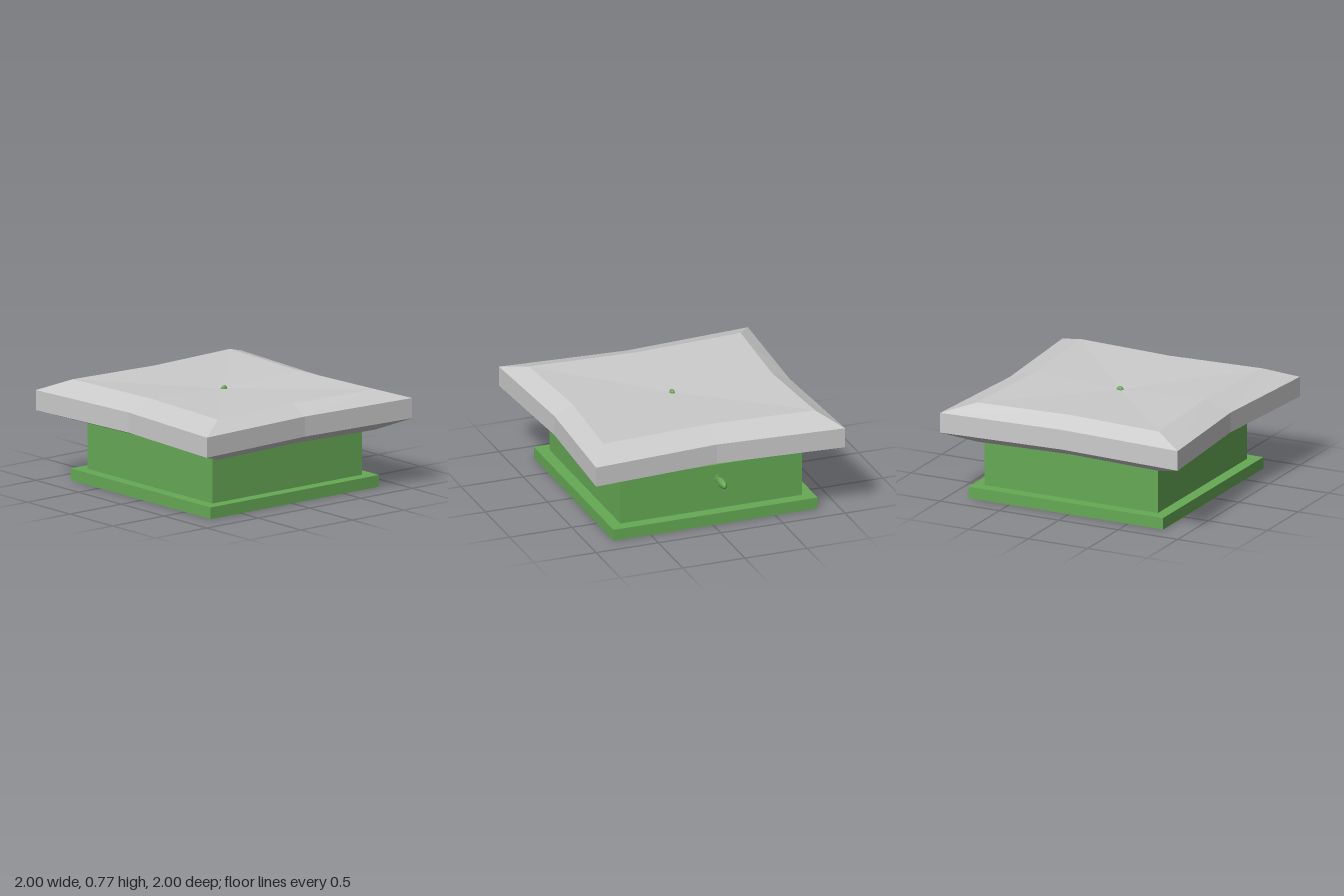
import * as THREE from 'three';

const green = new THREE.MeshStandardMaterial({ color: 0x66aa55, flatShading: true });
const grey = new THREE.MeshStandardMaterial({ color: 0xcccccc, flatShading: true });

// Box given by its limits on each axis
function block(name, [x0, x1], [y0, y1], [z0, z1]) {
  const mesh = new THREE.Mesh(new THREE.BoxGeometry(x1 - x0, y1 - y0, z1 - z0), green);
  mesh.position.set((x0 + x1) / 2, (y0 + y1) / 2, (z0 + z1) / 2);
  mesh.name = name;
  return mesh;
}

// Eight-point ring: four corners with the middle of each side drawn inwards
function ring(y, cornerX, cornerZ, midX, midZ) {
  return [
    [cornerX, y, cornerZ], [midX, y, 0], [cornerX, y, -cornerZ], [0, y, -midZ],
    [-cornerX, y, -cornerZ], [-midX, y, 0], [-cornerX, y, cornerZ], [0, y, midZ],
  ];
}

// Lid: rings joined from the underside up to a slightly sunken top
function lidGeometry() {
  const rings = [
    ring(0.46, 0.85, 0.765, 0.8, 0.715),
    ring(0.54, 1, 1, 0.945, 0.93),
    ring(0.695, 1, 1, 0.945, 0.93),
    ring(0.77, 0.85, 0.765, 0.8, 0.715),
  ];
  const pos = [];
  const low = [0, 0.46, 0], high = [0, 0.737, 0];
  for (let i = 0; i < 8; i++) {
    const j = (i + 1) % 8;
    pos.push(...low, ...rings[0][j], ...rings[0][i]);
    for (let r = 0; r < 3; r++) {
      const a = rings[r], b = rings[r + 1];
      pos.push(...a[i], ...a[j], ...b[j], ...a[i], ...b[j], ...b[i]);
    }
    pos.push(...rings[3][i], ...rings[3][j], ...high);
  }
  const geo = new THREE.BufferGeometry();
  geo.setAttribute('position', new THREE.Float32BufferAttribute(pos, 3));
  geo.computeVertexNormals();
  return geo;
}

// Knob: wall plate, thin neck and egg-shaped grip, narrower in x
function knob(name) {
  const profile = [
    [0, 0], [0.036, 0], [0.036, 0.004], [0.014, 0.008], [0.02, 0.02], [0.031, 0.05],
    [0.037, 0.085], [0.034, 0.125], [0.025, 0.155], [0.012, 0.166], [0, 0.168],
  ].map(([r, y]) => new THREE.Vector2(r, y));
  const mesh = new THREE.Mesh(new THREE.LatheGeometry(profile, 10), green);
  mesh.scale.x = 0.7;
  mesh.name = name;
  return mesh;
}

export function createModel() {
  const model = new THREE.Group();
  model.name = 'drawerBox';

  // Base and body
  model.add(block('base', [-0.84, 0.8], [0, 0.09], [-0.845, 0.795]));
  model.add(block('body', [-0.75, 0.71], [0.09, 0.46], [-0.755, 0.705]));

  // Drawer front and its knob at the back
  model.add(block('drawerFront', [-0.65, 0.62], [0.13, 0.46], [-0.78, -0.75]));
  const drawerKnob = knob('drawerKnob');
  drawerKnob.rotation.x = -Math.PI / 2;
  drawerKnob.position.set(-0.06, 0.345, -0.778);
  model.add(drawerKnob);

  // Lid with a knob just showing through its middle
  const lid = new THREE.Mesh(lidGeometry(), grey);
  lid.name = 'lid';
  model.add(lid);
  const lidKnob = knob('lidKnob');
  lidKnob.position.set(0, 0.595, 0);
  model.add(lidKnob);

  return model;
}
